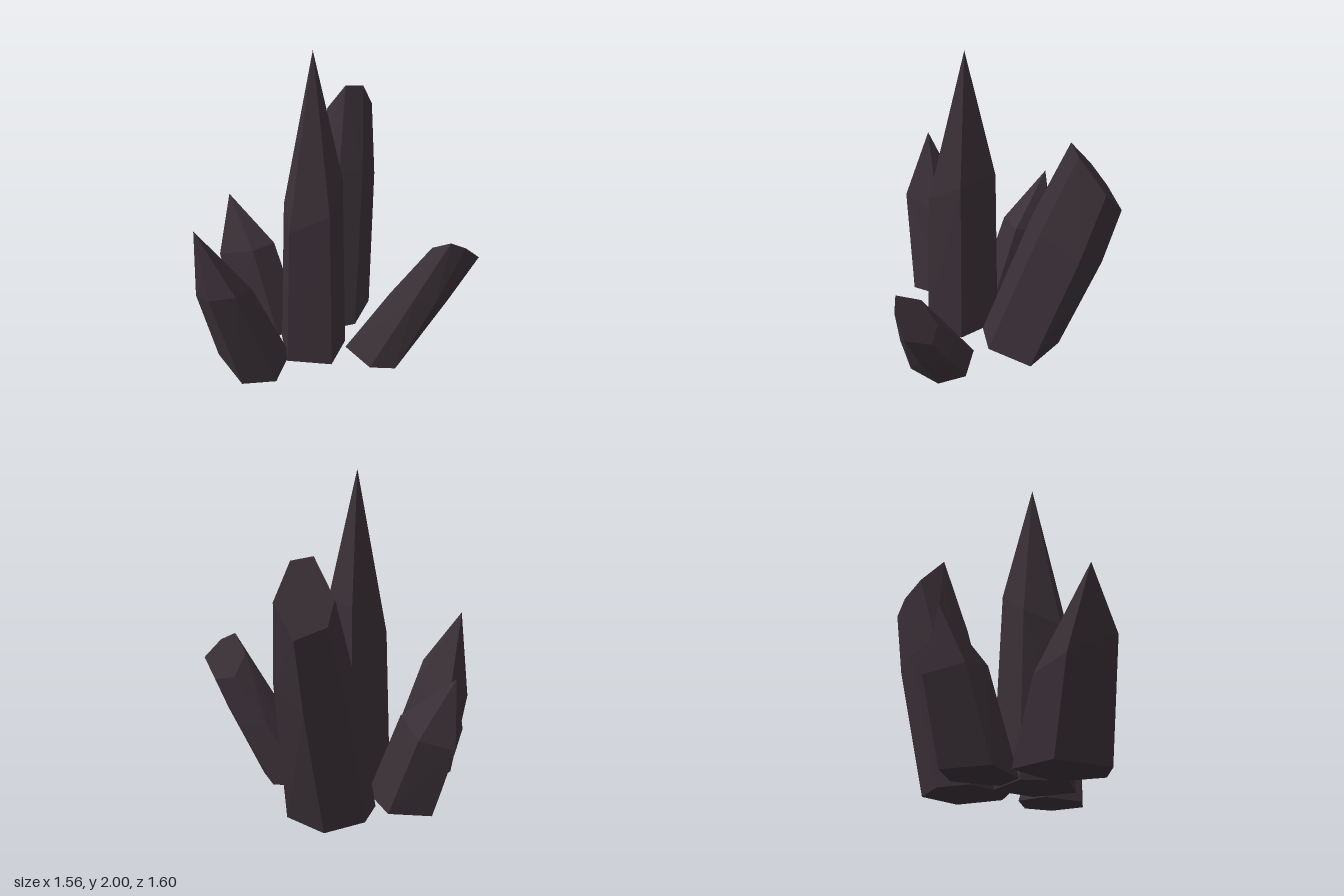
import * as THREE from 'three';
import { ConvexGeometry } from 'three/addons/geometries/ConvexGeometry.js';

const ground = (corners) => corners.map(([x, z]) => new THREE.Vector3(x, 0, z));

function centreOf(ring) {
  const sum = ring.reduce((total, p) => total.add(p), new THREE.Vector3());
  return sum.divideScalar(ring.length);
}

// Pointed crystal: the base ring leans, narrows and is cut by a sloping plane, then meets at the tip
function pointedCrystal({ base, height, slope, lean, scale, tip }) {
  const ring = ground(base);
  const centre = centreOf(ring);
  const shoulder = ring.map((p) => {
    const d = p.clone().sub(centre);
    const y = height + slope[0] * d.x + slope[1] * d.z;
    return new THREE.Vector3(
      centre.x + d.x * scale[0] + lean[0] * y,
      y,
      centre.z + d.z * scale[1] + lean[1] * y
    );
  });
  return new ConvexGeometry([...ring, ...shoulder, new THREE.Vector3(...tip)]);
}

// Cut crystal: the flat slanted cap lies on y = h + a x + b z, with a bulging ring partway up
function cutCrystal({ base, cap, plane: [h, a, b], along, bulge }) {
  const ring = ground(base);
  const top = cap.map(([x, z]) => new THREE.Vector3(x, h + a * x + b * z, z));
  const middle = ring.map((p, i) => p.clone().lerp(top[i], along));
  const centre = centreOf(middle);
  for (const p of middle) {
    p.x = centre.x + (p.x - centre.x) * bulge;
    p.z = centre.z + (p.z - centre.z) * bulge;
  }
  return new ConvexGeometry([...ring, ...middle, ...top]);
}

export function createModel() {
  const model = new THREE.Group();
  model.name = 'crystalCluster';
  const darkCrystal = new THREE.MeshStandardMaterial({ color: 0x3a3037 });
  darkCrystal.name = 'darkCrystal';

  const add = (name, geometry) => {
    const mesh = new THREE.Mesh(geometry, darkCrystal);
    mesh.name = name;
    model.add(mesh);
  };

  // Tall upright spire
  add('centreCrystal', pointedCrystal({
    base: [[0.05, 0.29], [0.26, 0.09], [0.13, -0.14], [-0.16, -0.14], [-0.18, 0.16]],
    height: 1.09, slope: [-0.03, -0.65], lean: [0, 0], scale: [0.84, 0.84],
    tip: [0, 2, 0.03],
  }));

  // Short crystal leaning to the right
  add('rightCrystal', pointedCrystal({
    base: [[-0.47, 0.335], [-0.2, 0.18], [-0.18, -0.02], [-0.46, -0.09], [-0.64, 0.1]],
    height: 0.534, slope: [0.25, -0.03], lean: [-0.356, 0.063], scale: [0.9, 0.83],
    tip: [-0.73, 0.88, 0.17],
  }));

  // Short crystal leaning forward
  add('frontCrystal', pointedCrystal({
    base: [[0.05, 0.645], [0.165, 0.465], [0, 0.23], [-0.345, 0.32], [-0.29, 0.6]],
    height: 0.578, slope: [0.39, 0.14], lean: [-0.066, 0.317], scale: [0.86, 0.74],
    tip: [-0.16, 1.05, 0.78],
  }));

  // Tall cut crystal leaning back and right
  add('backRightCrystal', cutCrystal({
    base: [[-0.45, -0.26], [-0.34, -0.09], [-0.04, -0.14], [0.03, -0.32], [-0.12, -0.59], [-0.4, -0.52]],
    cap: [[-0.57, -0.6], [-0.51, -0.51], [-0.34, -0.52], [-0.3, -0.64], [-0.38, -0.8], [-0.53, -0.78]],
    plane: [2.282, 1.2, 0.53], along: 0.66, bulge: 1.13,
  }));

  // Short cut crystal leaning back and left
  add('backLeftCrystal', cutCrystal({
    base: [[0.18, -0.1], [0.44, -0.08], [0.55, -0.2], [0.46, -0.4], [0.28, -0.44], [0.12, -0.28]],
    cap: [[0.57, -0.44], [0.72, -0.43], [0.77, -0.51], [0.78, -0.63], [0.62, -0.64], [0.53, -0.55]],
    plane: [0.861, 0.62, 0.9], along: 0.57, bulge: 1.08,
  }));

  return model;
}
